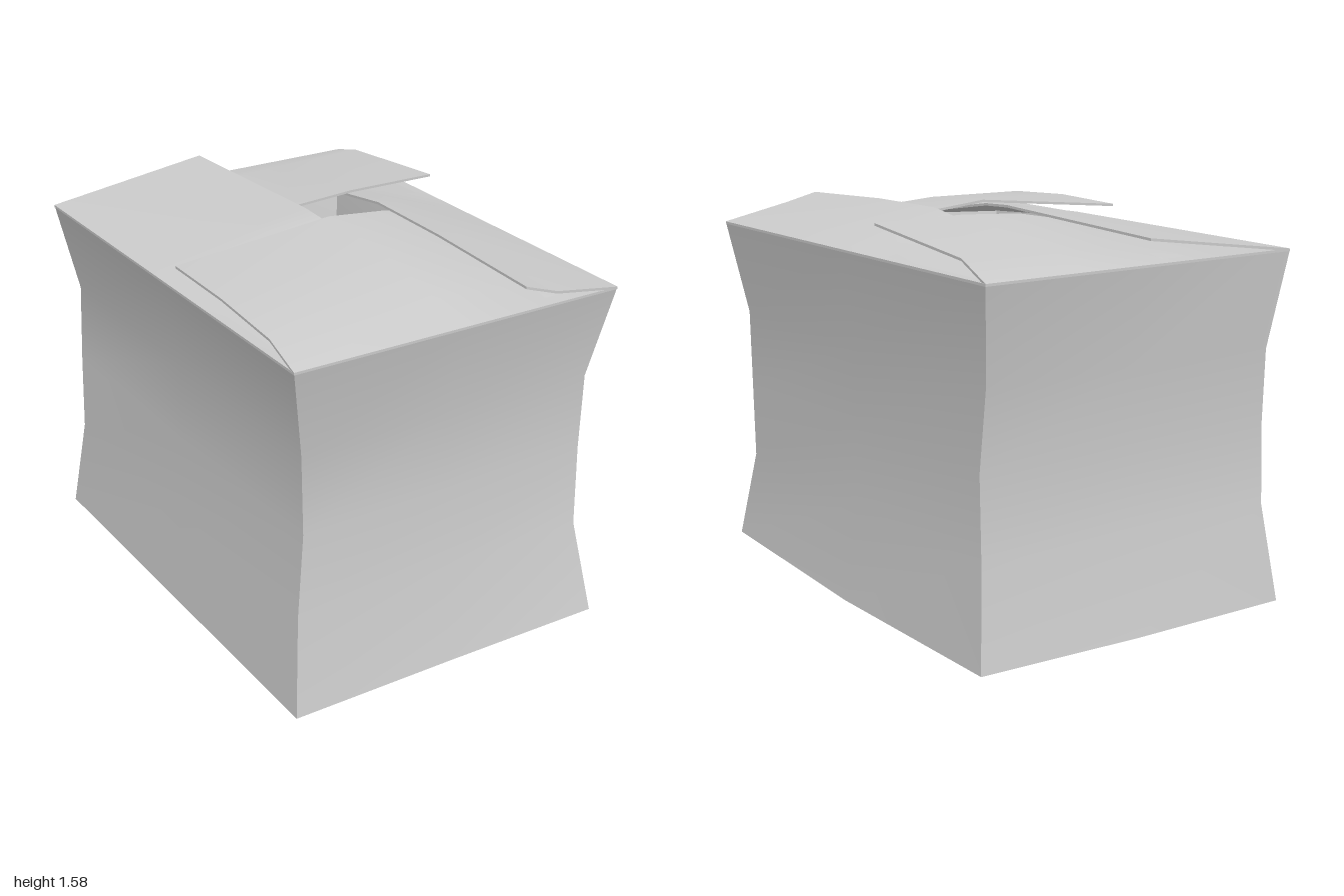
import * as THREE from 'three';

const material = new THREE.MeshStandardMaterial({ color: 0xcccccc, side: THREE.DoubleSide });

// Smooth sheet through rows of [x, y, z]; u runs along a row, v from row to row
function sheet(name, rows) {
  const nu = rows[0].length, index = [];
  for (let v = 0; v < rows.length - 1; v++) {
    for (let u = 0; u < nu - 1; u++) {
      const a = v * nu + u, b = a + 1, c = b + nu, d = a + nu;
      index.push(a, b, c, a, c, d);
    }
  }
  const g = new THREE.BufferGeometry();
  g.setAttribute('position', new THREE.Float32BufferAttribute(rows.flat(2), 3));
  g.setIndex(index);
  g.computeVertexNormals();
  const mesh = new THREE.Mesh(g, material);
  mesh.name = name;
  return mesh;
}

// Thin cardboard flap: top sheet, underside and a rim around the border
function flap(name, rows, thickness = 0.01) {
  const group = new THREE.Group();
  group.name = name;
  const lower = ([x, y, z]) => [x, y - thickness, z];
  const under = rows.map(r => r.map(lower).reverse());
  const last = rows.length - 1, end = rows[0].length - 1;
  const borders = [rows[0], rows.map(r => r[end]), [...rows[last]].reverse(), rows.map(r => r[0]).reverse()];
  group.add(sheet(name + 'Top', rows), sheet(name + 'Underside', under));
  borders.forEach(b => group.add(sheet(name + 'Rim', [b.map(lower), b])));
  return group;
}

export function createModel() {
  const model = new THREE.Group();
  model.name = 'crumpledBox';

  // Dented upright corners, [x, z] at each level
  const levels = [0, 0.4, 0.73, 1.05, 1.44];
  const corners = [
    [[-0.72, 0.97], [-0.675, 0.91], [-0.635, 0.885], [-0.635, 0.875], [-0.72, 0.97]],
    [[0.675, 1], [0.635, 0.91], [0.655, 0.88], [0.655, 0.89], [0.715, 0.97]],
    [[0.715, -0.97], [0.675, -0.915], [0.66, -0.882], [0.655, -0.915], [0.715, -1]],
    [[-0.72, -1], [-0.675, -0.94], [-0.67, -0.93], [-0.635, -0.975], [-0.72, -1]],
  ];
  const edges = corners.map((c, i) => c.map(([x, z], k) => [x, i === 1 && k === 0 ? 0.02 : levels[k], z]));
  const bottomMids = [[0, 0, 0.97], [0.715, 0, 0], [0, 0, -1], [-0.72, 0, 0]];

  // Four walls, each with a middle column
  ['frontWall', 'rightSideWall', 'backWall', 'leftSideWall'].forEach((name, i) => {
    const a = edges[i], b = edges[(i + 1) % 4];
    model.add(sheet(name, levels.map((_, k) => {
      const mid = k === 0 ? bottomMids[i] : a[k].map((p, j) => (p + b[k][j]) / 2);
      return [a[k], mid, b[k]];
    })));
  });

  // Bottom panel
  const [fl, fr, br, bl] = edges.map(e => e[0]);
  const [f, r, b, l] = bottomMids;
  model.add(sheet('bottomPanel', [[bl, b, br], [l, [0, 0, 0], r], [fl, f, fr]]));

  // Four interlocking flaps: rows go from the hinge to the free edge,
  // each raised at its first end and tucked under its neighbour at the other
  model.add(flap('frontFlap', [
    [[-0.72, 1.44, 0.97], [0, 1.44, 0.97], [0.27, 1.44, 0.97], [0.715, 1.44, 0.97]],
    [[-0.71, 1.495, 0.79], [0, 1.483, 0.79], [0.27, 1.47, 0.79], [0.7, 1.44, 0.79]],
    [[-0.7, 1.515, 0.43], [0, 1.55, 0.43], [0.27, 1.53, 0.43], [0.69, 1.44, 0.43]],
    [[-0.687, 1.51, 0.05], [0, 1.575, 0.05], [0.27, 1.548, 0.05], [0.68, 1.44, 0.05]],
  ]));
  model.add(flap('rightSideFlap', [
    [[0.715, 1.44, 0.97], [0.715, 1.44, 0.42], [0.715, 1.44, 0], [0.715, 1.44, -0.2], [0.715, 1.44, -1]],
    [[0.4, 1.5, 0.995], [0.4, 1.53, 0.42], [0.4, 1.54, 0], [0.4, 1.52, -0.2], [0.4, 1.44, -0.98]],
    [[0.27, 1.538, 0.972], [0.27, 1.563, 0.42], [0.27, 1.568, 0], [0.27, 1.54, -0.2], [0.27, 1.44, -0.97]],
  ]));
  model.add(flap('backFlap', [
    [[0.715, 1.44, -1], [0.27, 1.44, -1], [0, 1.44, -1], [-0.37, 1.44, -1], [-0.72, 1.44, -1]],
    [[0.68, 1.5, -0.8], [0.27, 1.49, -0.8], [0, 1.48, -0.8], [-0.37, 1.45, -0.8], [-0.7, 1.43, -0.8]],
    [[0.67, 1.557, -0.2], [0.27, 1.56, -0.2], [0, 1.545, -0.2], [-0.37, 1.48, -0.2], [-0.69, 1.43, -0.2]],
  ]));
  model.add(flap('leftSideFlap', [
    [[-0.72, 1.44, -1], [-0.72, 1.44, -0.1], [-0.72, 1.44, 0.05], [-0.72, 1.44, 0.97]],
    [[-0.37, 1.488, -1], [-0.37, 1.515, -0.1], [-0.37, 1.51, 0.05], [-0.37, 1.43, 0.95]],
    [[-0.015, 1.537, -1], [-0.015, 1.567, -0.1], [-0.015, 1.56, 0.05], [-0.015, 1.42, 0.94]],
  ]));
  return model;
}
